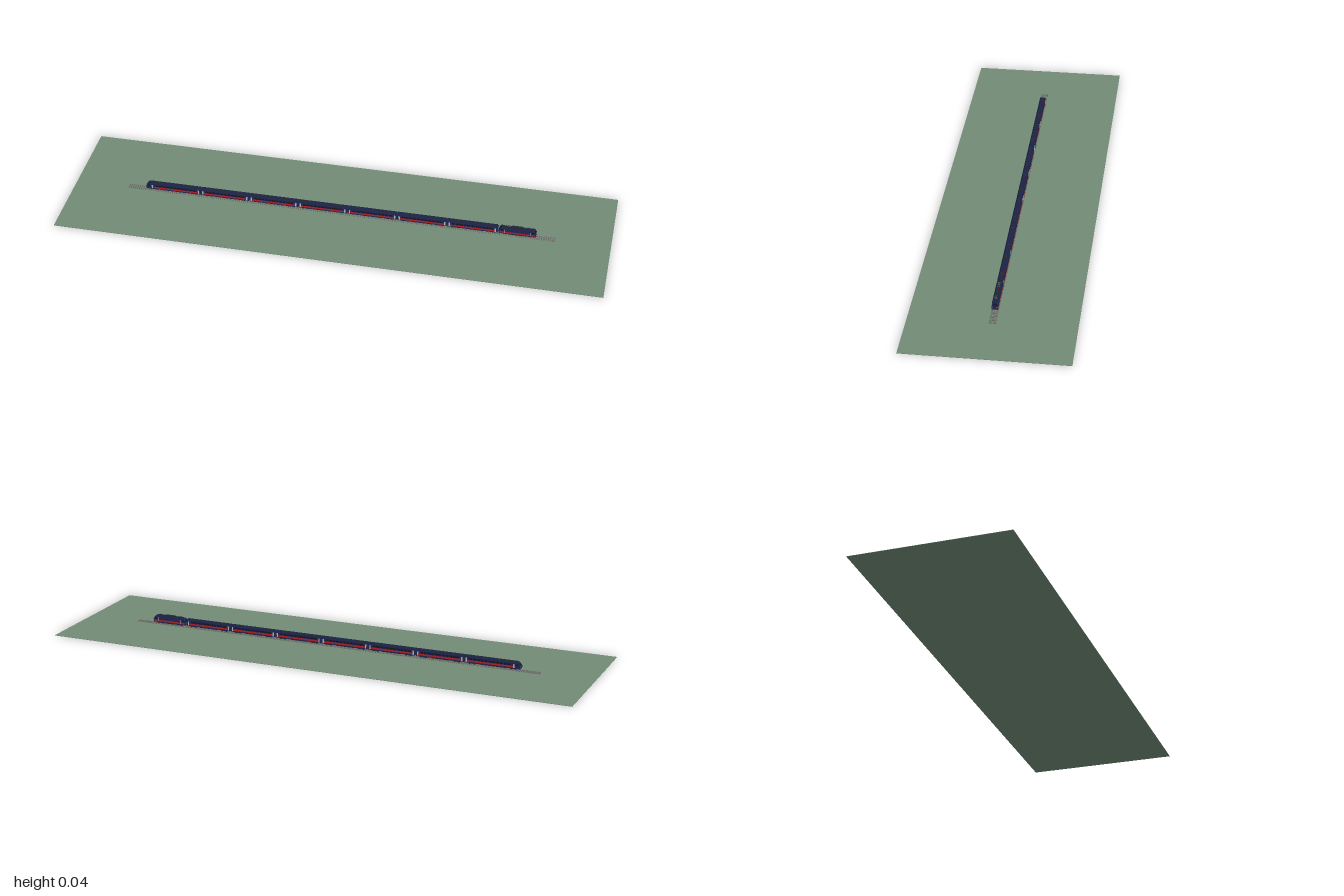
import * as THREE from 'three';

const paint = (name, color) => {
  const m = new THREE.MeshStandardMaterial({ color });
  m.name = name;
  return m;
};

export function createModel() {
  const grass = paint('grass green', 0x728c76);
  const navy = paint('navy', 0x202a5c);
  const roofBlue = paint('dark roof', 0x1b2244);
  const red = paint('red', 0xc4202a);
  const glass = paint('window glass', 0x15181f);
  const pale = paint('pale grey', 0xb9c2c6);
  const dark = paint('underframe', 0x26282c);
  const steel = paint('rail steel', 0x7d7d80);
  const sleeperMat = paint('sleeper', 0x6b645f);

  const model = new THREE.Group();
  const add = (parent, name, geo, mat, x = 0, y = 0, z = 0) => {
    const mesh = new THREE.Mesh(geo, mat);
    mesh.name = name;
    mesh.position.set(x, y, z);
    parent.add(mesh);
    return mesh;
  };
  const box = (p, name, mat, x0, x1, y0, y1, z0, z1) =>
    add(p, name, new THREE.BoxGeometry(x1 - x0, y1 - y0, z1 - z0), mat,
      (x0 + x1) / 2, (y0 + y1) / 2, (z0 + z1) / 2);
  const HALF = 0.0108;

  // Side outline extruded across the width; points above "eaves" lean inward
  const hull = (p, name, mat, pts, eaves = 1, pinch = 1) => {
    const shape = new THREE.Shape(pts.map(q => new THREE.Vector2(q[0], q[1])));
    const geo = new THREE.ExtrudeGeometry(shape, { depth: 2 * HALF, bevelEnabled: false });
    geo.translate(0, 0, -HALF);
    const pos = geo.attributes.position;
    for (let i = 0; i < pos.count; i++)
      if (pos.getY(i) > eaves) pos.setZ(i, pos.getZ(i) * pinch);
    geo.computeVertexNormals();
    return add(p, name, geo, mat);
  };
  // Thin painted plates on both flanks
  const plates = (p, name, mat, x0, x1, y0, y1, t = 0.0003) => {
    for (const s of [-1, 1])
      add(p, name, new THREE.BoxGeometry(x1 - x0, y1 - y0, t), mat,
        (x0 + x1) / 2, (y0 + y1) / 2, s * (HALF + t / 2));
  };
  const wheelGeo = new THREE.CylinderGeometry(0.0032, 0.0032, 0.0012, 16).rotateX(Math.PI / 2);
  const bogie = (p, x) => {
    const g = new THREE.Group();
    g.name = 'bogie';
    g.position.x = x;
    p.add(g);
    box(g, 'bogieFrame', dark, -0.013, 0.013, 0.0065, 0.0098, -0.0075, 0.0075);
    for (const dx of [-0.009, 0.009]) {
      box(g, 'axle', dark, dx - 0.0005, dx + 0.0005, 0.0067, 0.0077, -0.005, 0.005);
      for (const z of [-0.0054, 0.0054]) add(g, 'wheel', wheelGeo, dark, dx, 0.0072, z);
    }
  };

  // Ground and track
  box(model, 'ground', grass, -1, 1, 0, 0.0012, -0.287, 0.287);
  const track = new THREE.Group();
  track.name = 'track';
  model.add(track);
  const count = 200;
  const sleepers = new THREE.InstancedMesh(new THREE.BoxGeometry(0.003, 0.0014, 0.0245), sleeperMat, count);
  sleepers.name = 'sleepers';
  const mat4 = new THREE.Matrix4();
  for (let i = 0; i < count; i++)
    sleepers.setMatrixAt(i, mat4.makeTranslation(-0.798 + i * 1.596 / (count - 1), 0.0019, 0));
  track.add(sleepers);
  for (const z of [-0.0054, 0.0054])
    box(track, 'rail', steel, -0.8, 0.8, 0.0024, 0.004, z - 0.0006, z + 0.0006);

  // Coaches; the first has a sloping driving cab
  const starts = [-0.73, -0.52, -0.335, -0.15, 0.035, 0.22, 0.405, 0.59];
  for (let c = 0; c < 7; c++) {
    const cab = c === 0;
    const a = starts[c] + (cab ? 0 : 0.0015), b = starts[c + 1] - 0.0015;
    const slope = cab ? 0.009 : 0, bow = cab ? 0.015 : 0;
    const car = new THREE.Group();
    car.name = cab ? 'drivingCoach' : 'coach';
    model.add(car);
    hull(car, 'coachBody', navy, [[a, 0.0095], [b, 0.0095], [b, 0.0305], [a + slope, 0.0305], [a, 0.02]]);
    hull(car, 'coachRoof', roofBlue, [[a + slope, 0.0305], [b, 0.0305], [b, 0.0348], [a + bow, 0.0348]], 0.031, 0.6);
    plates(car, 'redStripe', red, a + (cab ? 0.02 : 0.004), b - 0.004, 0.0135, 0.0195);
    // Doors beside each gangway
    for (const x of [a + (cab ? 0.024 : 0.007), b - 0.007])
      plates(car, 'door', pale, x - 0.0025, x + 0.0025, 0.012, 0.0275, 0.0005);
    const w0 = a + (cab ? 0.034 : 0.016), n = 11, step = (b - 0.016 - w0) / n;
    for (let i = 0; i < n; i++)
      plates(car, 'window', glass, w0 + i * step + 0.0015, w0 + (i + 1) * step - 0.0015, 0.0215, 0.0275);
    // Roof units and underfloor equipment
    for (const f of [0.2, 0.8]) {
      const x = a + (b - a) * f;
      box(car, 'roofUnit', dark, x - 0.01, x + 0.01, 0.0345, 0.0355, -0.0045, 0.0045);
    }
    box(car, 'underfloorBox', dark, a + 0.055, b - 0.055, 0.0075, 0.0095, -0.009, 0.009);
    bogie(car, a + 0.027);
    bogie(car, b - 0.027);
    box(car, 'gangway', dark, b, b + 0.003, 0.011, 0.031, -0.007, 0.007);
    if (cab) {
      plates(car, 'cabSideWindow', glass, a + 0.009, a + 0.016, 0.0215, 0.0275);
      const pane = box(car, 'windscreen', glass, -0.0002, 0.0002, -0.005, 0.005, -0.0085, 0.0085);
      pane.position.set(a + 0.0046, 0.0256, 0);
      pane.rotation.z = -Math.atan2(0.009, 0.0105);
      for (const z of [-0.007, 0.007])
        box(car, 'headlight', pale, a - 0.0004, a, 0.0165, 0.0185, z - 0.0015, z + 0.0015);
    }
  }

  // Locomotive with a cab at each end
  const loco = new THREE.Group();
  loco.name = 'locomotive';
  model.add(loco);
  const L = 0.594, R = 0.73, mid = (L + R) / 2;
  hull(loco, 'locomotiveBody', navy, [[L, 0.0095], [R, 0.0095], [R, 0.021], [R - 0.006, 0.031], [L + 0.006, 0.031], [L, 0.021]]);
  hull(loco, 'locomotiveRoof', roofBlue, [[L + 0.006, 0.031], [R - 0.006, 0.031], [R - 0.011, 0.0355], [L + 0.011, 0.0355]], 0.032, 0.6);
  plates(loco, 'redStripe', red, L + 0.004, R - 0.004, 0.0125, 0.0185);
  box(loco, 'transformer', dark, mid - 0.022, mid + 0.022, 0.0065, 0.0095, -0.009, 0.009);
  for (const s of [-1, 1]) {
    const xe = mid + s * (R - L) / 2;
    bogie(loco, mid + s * 0.04);
    const cx = xe - s * 0.012;
    plates(loco, 'cabWindow', glass, cx - 0.003, cx + 0.003, 0.0225, 0.0285);
    const dx = xe - s * 0.02;
    plates(loco, 'cabDoor', pale, dx - 0.0008, dx + 0.0008, 0.013, 0.0285, 0.0005);
    const pane = box(loco, 'windscreen', glass, -0.0002, 0.0002, -0.0045, 0.0045, -0.0085, 0.0085);
    pane.position.set(xe - s * 0.0029, 0.0262, 0);
    pane.rotation.z = s * Math.atan2(0.006, 0.01);
    for (const z of [-0.007, 0.007]) {
      box(loco, 'headlight', pale, xe - 0.0003, xe + 0.0003, 0.016, 0.018, z - 0.0015, z + 0.0015);
      box(loco, 'buffer', dark, xe - 0.001, xe + 0.001, 0.0105, 0.0125, z - 0.0012, z + 0.0012);
    }
    // Pantograph: two arms on a base with a collector bar
    const px = mid + s * 0.036;
    box(loco, 'pantographBase', dark, px - 0.011, px + 0.011, 0.0355, 0.0375, -0.004, 0.004);
    for (const z of [-0.0025, 0.0025]) {
      const arm = box(loco, 'pantographArm', steel, -0.011, 0.011, -0.0003, 0.0003, -0.0004, 0.0004);
      arm.position.set(px, 0.0395, z);
      arm.rotation.z = s * 0.2;
    }
    box(loco, 'collectorBar', steel, px + s * 0.0105 - 0.0008, px + s * 0.0105 + 0.0008, 0.0412, 0.0422, -0.0055, 0.0055);
  }
  box(loco, 'roofEquipment', dark, mid - 0.02, mid + 0.02, 0.0355, 0.039, -0.0045, 0.0045);
  return model;
}
